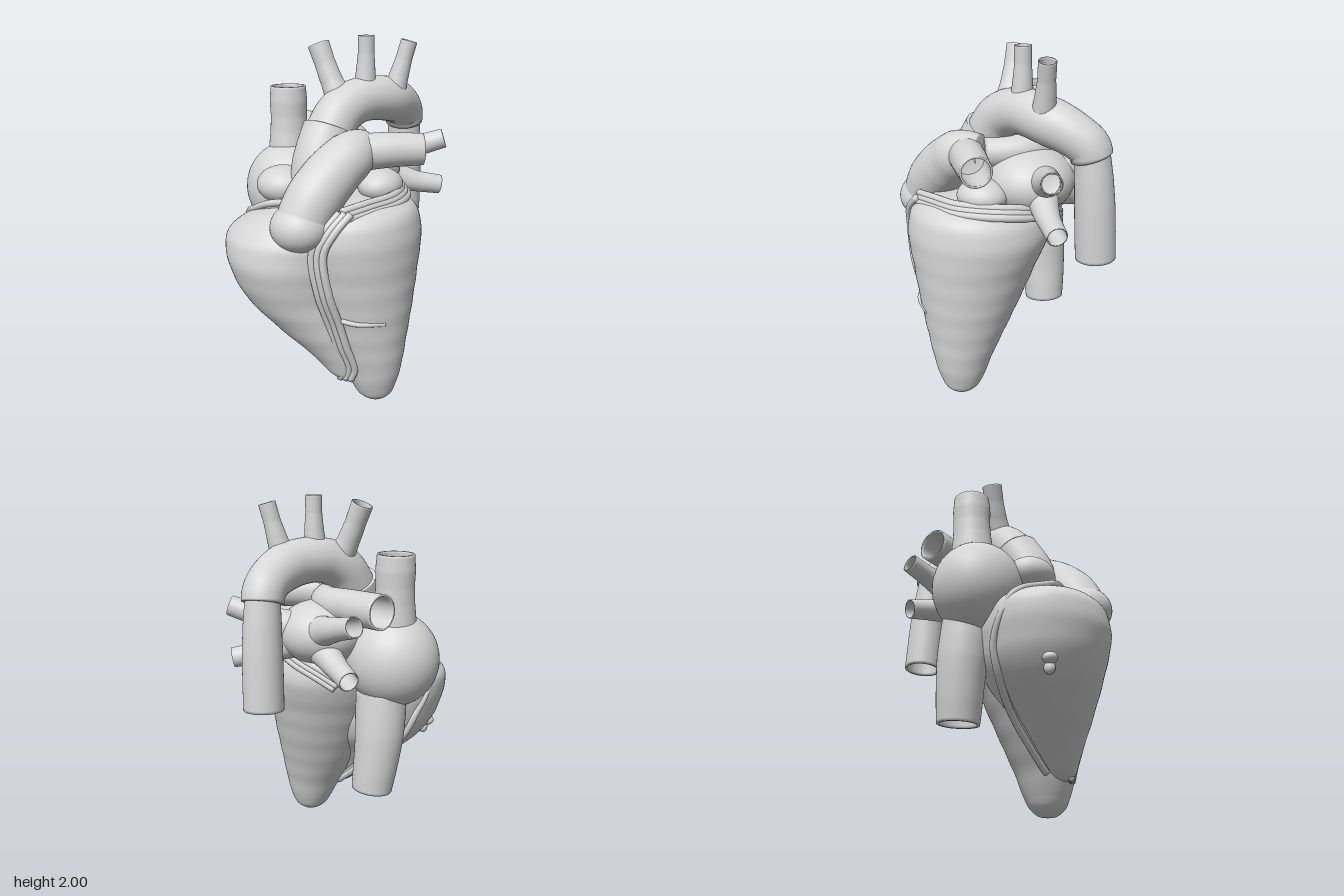
import * as THREE from 'three';

const V = (p) => new THREE.Vector3(...p);
const SIDES = 40;

export function createModel() {
  const group = new THREE.Group();
  const grey = new THREE.MeshStandardMaterial({ color: 0xd6d6d6, side: THREE.DoubleSide });
  grey.name = 'plain grey';

  function add(name, geometry) {
    const mesh = new THREE.Mesh(geometry, grey);
    mesh.name = name;
    group.add(mesh);
    return mesh;
  }

  // Skin over a row of elliptical rings { c, n, b }: centre and two half axes
  function skin(rings, sides = SIDES) {
    const pos = [], index = [];
    rings.forEach(({ c, n, b }, j) => {
      for (let i = 0; i < sides; i++) {
        const a = (i / sides) * Math.PI * 2;
        const p = c.clone().addScaledVector(n, -Math.cos(a)).addScaledVector(b, Math.sin(a));
        pos.push(p.x, p.y, p.z);
        if (j === 0) continue;
        const k = (i + 1) % sides, lo = (j - 1) * sides, hi = j * sides;
        index.push(lo + i, hi + i, lo + k, hi + i, hi + k, lo + k);
      }
    });
    const g = new THREE.BufferGeometry();
    g.setAttribute('position', new THREE.Float32BufferAttribute(pos, 3));
    g.setIndex(index);
    g.computeVertexNormals();
    return g;
  }

  // Chamber from level sections [y, centre x, centre z, half width x, half width z]
  function chamber(name, sections, ripple) {
    const centre = new THREE.CatmullRomCurve3(sections.map((s) => V([s[1], s[0], s[2]])), false, 'centripetal');
    const size = new THREE.CatmullRomCurve3(sections.map((s) => V([s[3], s[0], s[4]])), false, 'centripetal');
    const rings = [];
    for (let j = 0; j <= 90; j++) {
      const c = centre.getPoint(j / 90), s = size.getPoint(j / 90);
      const wave = ripple * Math.sin(c.y * 46) * Math.min(1, s.x / 0.2);
      rings.push({
        c,
        n: new THREE.Vector3(0, 0, Math.max(0.0005, s.z + wave)),
        b: new THREE.Vector3(Math.max(0.0005, s.x + wave), 0, 0),
      });
    }
    add(name, skin(rings, 64));
  }

  // Vessel along a path with evenly spread radii; an open end turns inward as a thin wall
  function vessel(name, points, radii, open = true, sides = SIDES, steps = 40) {
    const curve = new THREE.CatmullRomCurve3(points.map(V), false, 'centripetal');
    const f = curve.computeFrenetFrames(steps, false);
    const rings = [];
    const ring = (j, scale) => {
      const t = (j / steps) * (radii.length - 1), k = Math.min(Math.floor(t), radii.length - 2);
      const r = THREE.MathUtils.lerp(radii[k], radii[k + 1], t - k) * scale;
      rings.push({
        c: curve.getPointAt(j / steps),
        n: f.normals[j].clone().multiplyScalar(r),
        b: f.binormals[j].clone().multiplyScalar(r),
      });
    };
    ring(0, 0.001);
    for (let j = 0; j <= steps; j++) ring(j, 1);
    if (open) {
      for (let j = steps; j >= steps * 0.4; j--) ring(j, 0.87);
      ring(Math.round(steps * 0.4), 0.001);
    } else ring(steps, 0.001);
    add(name, skin(rings, sides));
  }

  function blob(name, centre, radii) {
    const mesh = add(name, new THREE.SphereGeometry(1, 48, 32));
    mesh.position.set(...centre);
    mesh.scale.set(...radii);
  }

  // Three thin vessels lying side by side
  function strands(name, points, offset, r = 0.02) {
    for (let k = -1; k <= 1; k++) {
      const shifted = points.map((p) => p.map((v, i) => v + offset[i] * k));
      vessel(name, shifted, [r, r * 1.1, r], false, 10, 60);
    }
  }

  // Ventricles
  chamber('leftVentricle', [
    [0, 0.355, 0.155, 0, 0], [0.012, 0.355, 0.155, 0.055, 0.055], [0.05, 0.352, 0.155, 0.1, 0.1],
    [0.11, 0.345, 0.155, 0.13, 0.13], [0.22, 0.33, 0.155, 0.17, 0.165], [0.4, 0.285, 0.15, 0.235, 0.225],
    [0.6, 0.24, 0.14, 0.298, 0.29], [0.8, 0.195, 0.13, 0.355, 0.35], [0.97, 0.16, 0.12, 0.396, 0.398],
    [1.08, 0.15, 0.12, 0.392, 0.385], [1.14, 0.15, 0.12, 0.36, 0.335], [1.18, 0.15, 0.12, 0.28, 0.25],
    [1.2, 0.15, 0.12, 0, 0],
  ], 0.0012);
  chamber('rightVentricle', [
    [0.165, 0.24, 0.3, 0, 0], [0.185, 0.225, 0.3, 0.06, 0.05], [0.3, 0.165, 0.29, 0.14, 0.12],
    [0.45, 0.06, 0.3, 0.225, 0.2], [0.65, -0.06, 0.29, 0.308, 0.32], [0.85, -0.1, 0.305, 0.347, 0.365],
    [0.97, -0.1, 0.31, 0.353, 0.345], [1.04, -0.075, 0.31, 0.315, 0.3], [1.1, -0.035, 0.31, 0.235, 0.235],
    [1.14, 0, 0.31, 0.15, 0.15], [1.165, 0.02, 0.31, 0, 0],
  ], 0.0012);

  // Atria and their ear-shaped pouches
  blob('rightAtrium', [-0.3, 1.13, 0], [0.262, 0.265, 0.25]);
  blob('rightAuricle', [-0.175, 1.22, 0.26], [0.15, 0.105, 0.14]);
  blob('leftAtrium', [0.06, 1.27, -0.15], [0.25, 0.18, 0.24]);
  blob('leftAuricle', [0.3, 1.23, 0.03], [0.12, 0.09, 0.14]);

  // Great veins
  vessel('superiorVenaCava', [[-0.32, 1.2, -0.02], [-0.325, 1.45, -0.03], [-0.33, 1.71, -0.035]],
    [0.13, 0.125, 0.117, 0.108, 0.104, 0.107, 0.1]);
  vessel('inferiorVenaCava', [[-0.275, 0.95, -0.07], [-0.277, 0.68, -0.1], [-0.25, 0.39, -0.125]],
    [0.14, 0.14, 0.137, 0.129, 0.123, 0.114]);

  // Pulmonary trunk and arteries
  blob('pulmonaryTrunkRoot', [0.08, 1.085, 0.5], [0.155, 0.13, 0.15]);
  vessel('pulmonaryTrunk', [[0.08, 1.09, 0.49], [0.115, 1.22, 0.415], [0.17, 1.35, 0.285], [0.215, 1.42, 0.18], [0.21, 1.43, 0.07]],
    [0.14, 0.148, 0.146, 0.135, 0.1], false);
  vessel('leftPulmonaryArtery', [[0.2, 1.42, 0.18], [0.36, 1.435, 0.07], [0.51, 1.435, -0.04]], [0.1, 0.094, 0.084]);
  vessel('rightPulmonaryArtery', [[0.16, 1.42, 0.08], [0.04, 1.43, -0.12], [-0.15, 1.435, -0.19], [-0.37, 1.44, -0.255]],
    [0.085, 0.088, 0.093, 0.094]);

  // Pulmonary veins
  const veins = [
    ['leftUpperPulmonaryVein', [0.14, 1.29, -0.25], [0.31, 1.36, -0.35], [0.475, 1.42, -0.425]],
    ['leftLowerPulmonaryVein', [0.14, 1.24, -0.24], [0.3, 1.17, -0.34], [0.45, 1.135, -0.45]],
    ['rightUpperPulmonaryVein', [0.02, 1.29, -0.26], [-0.13, 1.34, -0.35], [-0.31, 1.39, -0.43]],
    ['rightLowerPulmonaryVein', [0.02, 1.22, -0.24], [-0.13, 1.15, -0.33], [-0.28, 1.105, -0.43]],
  ];
  veins.forEach(([name, ...path]) => vessel(name, path, [0.1, 0.075, 0.06, 0.055]));

  // Aorta
  vessel('ascendingAorta', [[0.0, 1.15, 0.24], [0.01, 1.35, 0.2], [0.02, 1.52, 0.11]], [0.13, 0.14, 0.138], false);
  vessel('aorticArch', [[0.02, 1.47, 0.125], [0.05, 1.6, 0.03], [0.105, 1.655, -0.1], [0.175, 1.645, -0.27],
    [0.19, 1.595, -0.42], [0.18, 1.53, -0.51], [0.175, 1.48, -0.525]],
  [0.134, 0.13, 0.123, 0.124, 0.126, 0.115, 0.11], false);
  vessel('descendingAorta', [[0.175, 1.52, -0.525], [0.17, 1.3, -0.545], [0.16, 0.92, -0.565]], [0.09, 0.1, 0.106, 0.108, 0.108]);
  vessel('archBranchFront', [[0.03, 1.66, 0.0], [-0.035, 1.79, 0], [-0.105, 1.955, 0]], [0.075, 0.062, 0.057, 0.06]);
  vessel('archBranchMiddle', [[0.12, 1.72, -0.12], [0.122, 1.86, -0.125], [0.122, 2, -0.125]], [0.062, 0.053, 0.045, 0.045]);
  vessel('archBranchBack', [[0.22, 1.68, -0.28], [0.25, 1.81, -0.3], [0.287, 1.965, -0.32]], [0.066, 0.055, 0.046, 0.046]);

  // Coronary vessels in the grooves
  strands('frontCoronaryVessel', [[0.3, 1.17, 0.42], [0.25, 1.08, 0.5], [0.205, 0.97, 0.53], [0.22, 0.75, 0.505],
    [0.245, 0.55, 0.435], [0.265, 0.4, 0.39], [0.285, 0.25, 0.335], [0.255, 0.17, 0.325]], [0.03, 0, -0.006]);
  strands('leftCoronaryVessel', [[0.3, 1.16, 0.42], [0.37, 1.178, 0.29], [0.43, 1.185, 0.12], [0.41, 1.185, -0.04],
    [0.32, 1.17, -0.19], [0.15, 1.12, -0.275], [-0.01, 1.06, -0.28], [-0.11, 1.01, -0.265]], [-0.016, 0.02, 0.006]);
  strands('rightCoronaryVessel', [[-0.06, 1.15, 0.4], [-0.17, 1.125, 0.4], [-0.28, 1.075, 0.36], [-0.42, 0.98, 0.24],
    [-0.385, 0.8, 0.14], [-0.3, 0.64, 0.13], [-0.12, 0.49, 0.13], [0.06, 0.33, 0.18], [0.18, 0.23, 0.22]], [0, 0.024, 0.01]);
  vessel('sideBranch', [[0.26, 0.58, 0.435], [0.37, 0.565, 0.405], [0.48, 0.55, 0.3]], [0.014, 0.013, 0.011], false, 10);

  // Small nodules on the right ventricle
  blob('nodule', [-0.335, 0.65, 0.41], [0.04, 0.03, 0.04]);
  blob('nodule', [-0.315, 0.605, 0.4], [0.026, 0.035, 0.03]);

  return group;
}
